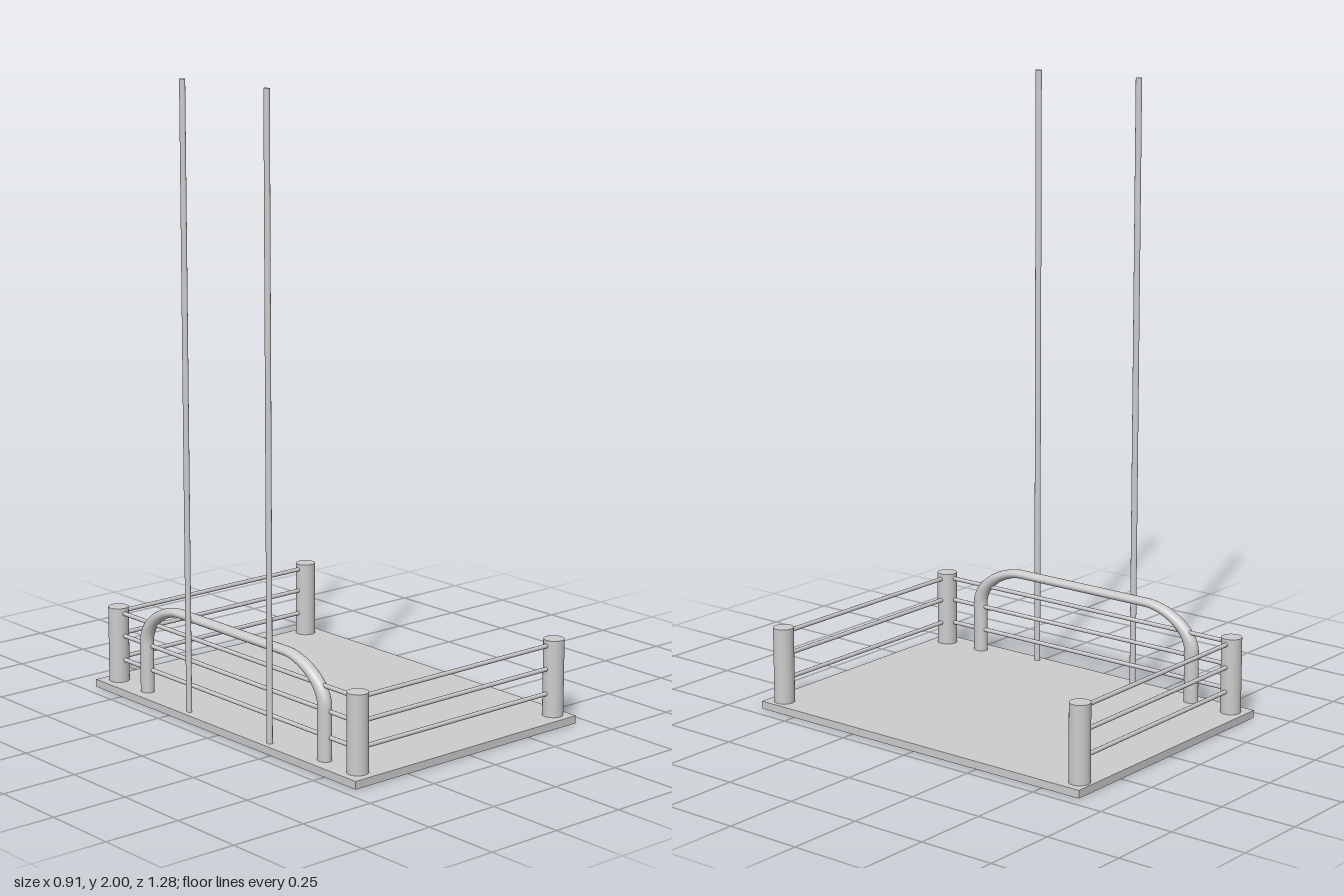
import * as THREE from 'three';

const material = new THREE.MeshStandardMaterial({ color: 0xcccccc });

function addMesh(parent, name, geometry, x = 0, y = 0, z = 0) {
  const mesh = new THREE.Mesh(geometry, material);
  mesh.name = name;
  mesh.position.set(x, y, z);
  parent.add(mesh);
  return mesh;
}

// Round bar between two points
function addBar(parent, name, a, b, radius) {
  const dir = b.clone().sub(a);
  const bar = addMesh(parent, name, new THREE.CylinderGeometry(radius, radius, dir.length(), 12));
  bar.position.copy(a).add(b).multiplyScalar(0.5);
  bar.quaternion.setFromUnitVectors(new THREE.Vector3(0, 1, 0), dir.normalize());
  return bar;
}

export function createModel() {
  const model = new THREE.Group();
  model.name = 'fencedPlatform';
  const deckTop = 0.025;

  // Thin rectangular deck
  addMesh(model, 'deck', new THREE.BoxGeometry(0.914, deckTop, 1.276), 0, deckTop / 2, 0);

  // Corner posts, in order around the three fenced sides
  const posts = [[0.41, 0.583], [-0.4, 0.583], [-0.4, -0.587], [0.4, -0.597]];
  const postHeight = 0.272;
  for (const [x, z] of posts) {
    addMesh(model, 'cornerPost', new THREE.CylinderGeometry(0.033, 0.033, postHeight - 0.01, 32),
      x, (postHeight + 0.01) / 2, z);
  }

  // Three rails on each fenced side; the +x side stays open
  for (let i = 0; i < 3; i++) {
    for (const y of [0.099, 0.179, 0.254]) {
      const [a, b] = [posts[i], posts[i + 1]];
      addBar(model, 'rail', new THREE.Vector3(a[0], y, a[1]), new THREE.Vector3(b[0], y, b[1]), 0.007);
    }
  }

  // Arched hoop: a tube stretched along z and flattened in y
  const stretch = new THREE.Vector3(1, 0.68, 1.2);
  const p = (y, z) => new THREE.Vector3(0, y, z).divide(stretch);
  const legZ = 0.435, barZ = 0.255, legY = 0.19, barY = 0.321, k = 0.552;
  const corner = (s) => [
    p(legY, s * legZ),
    p(legY + k * (barY - legY), s * legZ),
    p(barY, s * (barZ + (1 - k) * (legZ - barZ))),
    p(barY, s * barZ),
  ];
  const path = new THREE.CurvePath();
  path.add(new THREE.LineCurve3(p(0.015, legZ), p(legY, legZ)));
  path.add(new THREE.CubicBezierCurve3(...corner(1)));
  path.add(new THREE.LineCurve3(p(barY, barZ), p(barY, -barZ)));
  path.add(new THREE.CubicBezierCurve3(...corner(-1).reverse()));
  path.add(new THREE.LineCurve3(p(legY, -legZ), p(0.015, -legZ)));
  const hoop = addMesh(model, 'hoop', new THREE.TubeGeometry(path, 120, 0.0205, 20), -0.403, 0, 0.003);
  hoop.scale.copy(stretch);

  // Two tall slim poles, slightly oval
  for (const z of [0.215, -0.181]) {
    const pole = addMesh(model, 'tallPole', new THREE.CylinderGeometry(0.008, 0.008, 1.98, 16), -0.43, 1.01, z);
    pole.scale.z = 1.35;
  }

  return model;
}
